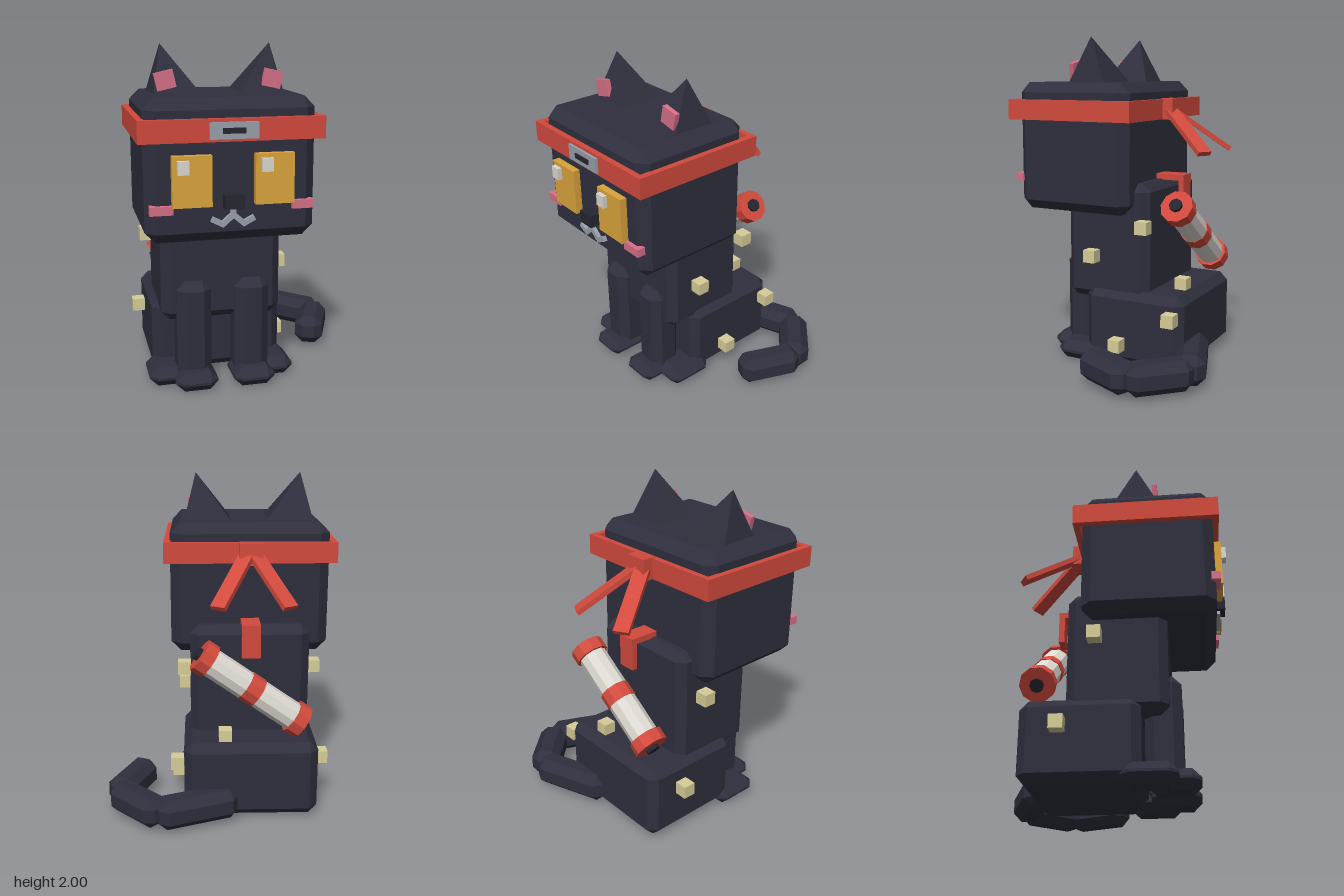
import * as THREE from 'three';
import { ConvexGeometry } from 'three/addons/geometries/ConvexGeometry.js';

const material = (name, color) => {
  const m = new THREE.MeshStandardMaterial({ color });
  m.name = name;
  return m;
};
const V = (x, y, z) => new THREE.Vector3(x, y, z);
const CX = -0.182; // mirror plane of the cat

// Box with every edge cut at 45 degrees
function chamferBox(w, h, d, c) {
  const pts = [];
  for (const x of [-1, 1]) for (const y of [-1, 1]) for (const z of [-1, 1]) {
    const X = x * w / 2, Y = y * h / 2, Z = z * d / 2;
    pts.push(V(X, Y - y * c, Z - z * c), V(X - x * c, Y, Z - z * c), V(X - x * c, Y - y * c, Z));
  }
  return new ConvexGeometry(pts);
}

export function createModel() {
  const fur = material('dark fur', 0x2f2f3e);
  const black = material('black', 0x262631);
  const red = material('red cloth', 0xd24a3d);
  const gold = material('gold eyes', 0xdba43c);
  const pink = material('pink', 0xd66f86);
  const steel = material('steel', 0x98a0a9);
  const paper = material('pale paper', 0xdcd8d1);
  const straw = material('straw', 0xd6cd98);

  const model = new THREE.Group();
  model.name = 'cat';
  const add = (name, geo, mat, parent = model) => {
    const m = new THREE.Mesh(geo, mat);
    m.name = name;
    parent.add(m);
    return m;
  };
  // Boxes given by their limits; c > 0 cuts the edges
  const block = (name, mat, [x0, x1], [y0, y1], [z0, z1], c = 0) => {
    const w = x1 - x0, h = y1 - y0, d = z1 - z0;
    const m = add(name, c ? chamferBox(w, h, d, c) : new THREE.BoxGeometry(w, h, d), mat);
    m.position.set((x0 + x1) / 2, (y0 + y1) / 2, (z0 + z1) / 2);
    return m;
  };
  // Box around x = CX + offset
  const centred = (name, mat, offset, w, ys, zs, c) =>
    block(name, mat, [CX + offset - w / 2, CX + offset + w / 2], ys, zs, c);
  // Bar running from a to b, its width kept level
  const bar = (name, mat, a, b, w, h, c = 0) => {
    const len = a.distanceTo(b);
    const m = add(name, c ? chamferBox(w, h, len, c) : new THREE.BoxGeometry(w, h, len), mat);
    m.position.copy(a).add(b).multiplyScalar(0.5);
    m.lookAt(b);
    return m;
  };

  // Head and body
  centred('head', fur, 0, 0.945, [0.95, 1.73], [-0.155, 0.6], 0.06);
  centred('torso', fur, 0, 0.715, [0.4, 1.135], [-0.24, 0.32], 0.05);
  centred('haunches', fur, 0, 0.795, [0.02, 0.48], [-0.485, 0.17], 0.05);

  for (const s of [-1, 1]) {
    // Legs and paws
    centred('frontLeg', fur, s * 0.173, 0.205, [0.03, 0.645], [0.18, 0.385], 0.05);
    centred('frontPaw', fur, s * 0.173, 0.25, [0, 0.115], [0.19, 0.475], 0.05);
    centred('backPaw', fur, s * 0.315, 0.25, [0, 0.115], [0.06, 0.36], 0.05);

    // Ears
    const ex = (x) => CX + s * x;
    add('ear', new ConvexGeometry([
      V(ex(0.318), 2.0, 0.157),
      V(ex(0.105), 1.72, 0), V(ex(0.105), 1.72, 0.31),
      V(ex(0.39), 1.72, 0.03), V(ex(0.375), 1.72, 0.285),
    ]), fur);
    const inner = add('innerEar', new THREE.BoxGeometry(0.11, 0.1, 0.03), pink);
    inner.position.set(ex(0.308), 1.803, 0.268);
    inner.rotation.z = -s * 0.22;

    // Eyes and cheeks
    centred('eye', gold, s * 0.226, 0.215, [1.16, 1.437], [0.59, 0.643]);
    centred('cheek', pink, s * 0.39, 0.125, [1.122, 1.17], [0.575, 0.627]);

    // Mouth curls
    const mouth = [[0.005, 1.102, 0.056, 1.058], [0.048, 1.05, 0.118, 1.086]];
    for (const [x0, y0, x1, y1] of mouth) {
      const curl = add('mouth', new THREE.BoxGeometry(Math.hypot(x1 - x0, y1 - y0), 0.03, 0.03), steel);
      curl.position.set(ex((x0 + x1) / 2), (y0 + y1) / 2, 0.61);
      curl.rotation.z = s * Math.atan2(y1 - y0, x1 - x0);
    }

    // Headband sides and loose ribbons
    centred('headbandSide', red, s * 0.488, 0.04, [1.505, 1.627], [-0.2, 0.635]);
    bar('ribbon', red, V(ex(0.025), 1.56, -0.235), V(ex(0.2), 1.32, -0.535), 0.09, 0.03);
  }
  centred('mouth', steel, 0, 0.03, [1.09, 1.15], [0.59, 0.625]);
  centred('nose', black, 0, 0.105, [1.145, 1.22], [0.59, 0.66]);
  for (const x of [-0.276, 0.178])
    centred('eyeGlint', paper, x, 0.063, [1.342, 1.415], [0.63, 0.67]);

  // Headband front, back, plate and knot
  centred('headbandFront', red, 0, 0.936, [1.505, 1.627], [0.6, 0.635]);
  centred('headbandBack', red, 0, 0.936, [1.505, 1.627], [-0.2, -0.165]);
  centred('plate', steel, 0, 0.265, [1.52, 1.61], [0.63, 0.65]);
  centred('plateSlot', black, 0, 0.125, [1.55, 1.58], [0.648, 0.657]);
  centred('knot', red, 0, 0.135, [1.503, 1.632], [-0.265, -0.185]);

  // Strap hooking the scroll to the back
  centred('strapTop', red, 0, 0.11, [1.13, 1.167], [-0.34, -0.12]);
  centred('strapDrop', red, 0, 0.11, [0.97, 1.13], [-0.34, -0.305]);

  // Scroll: rod pieces stacked along one tilted axis
  const scroll = new THREE.Group();
  scroll.name = 'scroll';
  scroll.position.set(CX, 0.805, -0.405);
  scroll.rotation.z = THREE.MathUtils.degToRad(35 - 90);
  model.add(scroll);
  const rod = (name, mat, r, len, y, sides) => {
    const g = new THREE.CylinderGeometry(r, r, len, sides).toNonIndexed();
    g.computeVertexNormals();
    add(name, g, mat, scroll).position.y = y;
  };
  rod('scrollPaper', paper, 0.085, 0.66, 0, 10);
  rod('scrollBand', red, 0.09, 0.09, 0, 10);
  for (const s of [-1, 1]) {
    rod('scrollCap', red, 0.102, 0.075, s * 0.33, 10);
    rod('scrollKnob', black, 0.04, 0.06, s * 0.36, 8);
  }

  // Tail curling round to the left
  const tail = [[-0.09, -0.44, 0.375, -0.613], [0.35, -0.613, 0.627, -0.333], [0.62, -0.36, 0.465, -0.002]];
  for (const [x0, z0, x1, z1] of tail)
    bar('tailSegment', fur, V(x0, 0.115, z0), V(x1, 0.115, z1), 0.182, 0.182, 0.05);

  // Straw tufts stuck to the coat
  const tufts = [
    [-0.58, 0.845, -0.08], [-0.62, 0.32, -0.265], [0.21, 0.887, -0.232], [0.21, 0.68, 0.12],
    [0.253, 0.362, -0.427], [0.253, 0.155, -0.075], [-0.03, 0.512, -0.385],
  ];
  for (const p of tufts)
    add('strawTuft', new THREE.BoxGeometry(0.077, 0.077, 0.077), straw).position.set(...p);

  return model;
}
